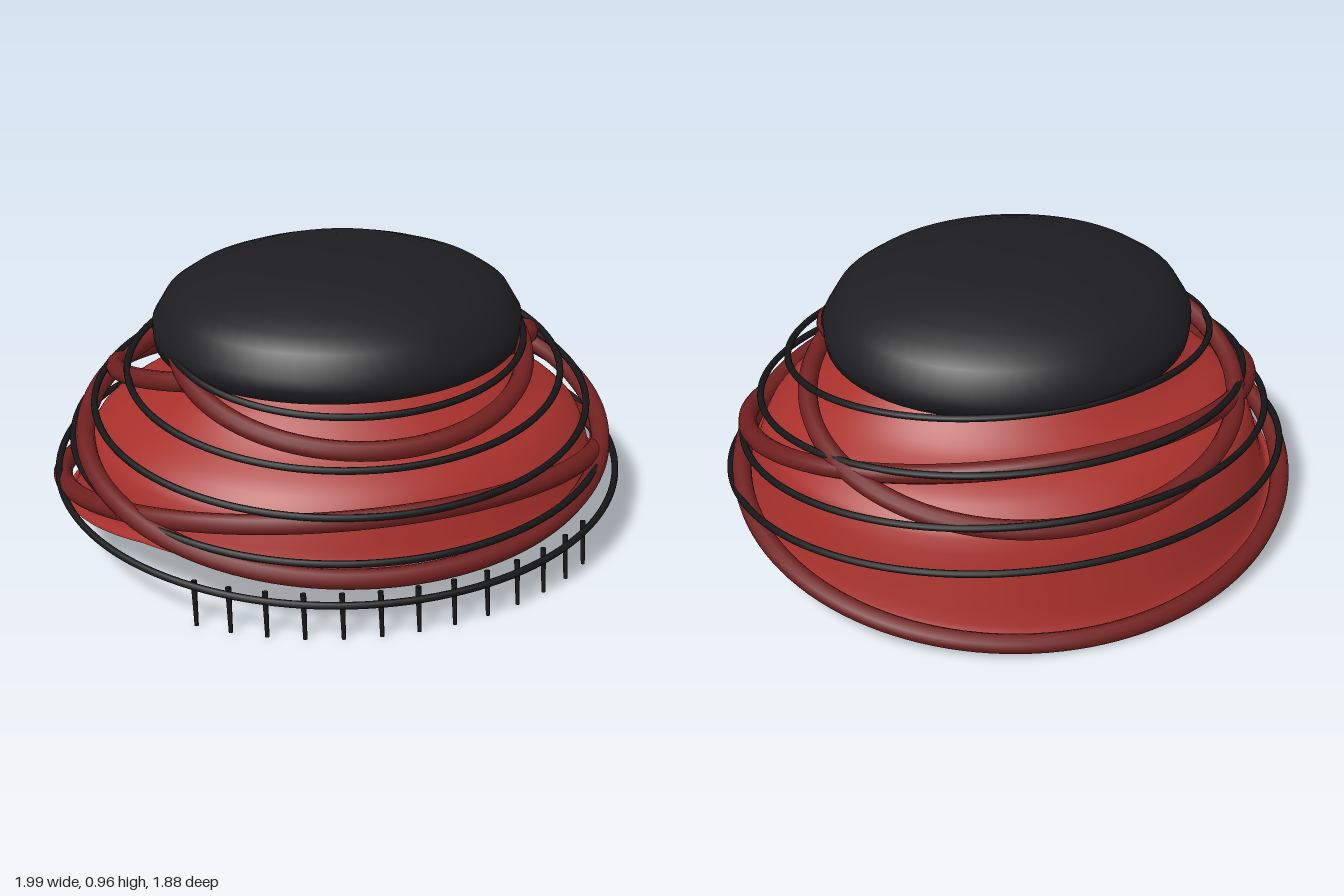
import * as THREE from 'three';
import { ParametricGeometry } from 'three/addons/geometries/ParametricGeometry.js';

const mat = (color, side = THREE.FrontSide) => new THREE.MeshStandardMaterial({ color, side });
const black = mat(0x1e1e21);
const wireBlack = mat(0x161618);
const red = mat(0xa8302b, THREE.DoubleSide);
const darkRed = mat(0x70201f);

// Closed elliptical ring, tilted between its frontmost and backmost points.
function ring(name, front, back, rx, radius, material) {
  const [zf, yf] = front, [zb, yb] = back;
  const points = [];
  for (let i = 0; i < 48; i++) {
    const a = (i / 48) * Math.PI * 2, t = (1 + Math.cos(a)) / 2;
    points.push(new THREE.Vector3(rx * Math.sin(a), yb + (yf - yb) * t, zb + (zf - zb) * t));
  }
  const path = new THREE.CatmullRomCurve3(points, true);
  const mesh = new THREE.Mesh(new THREE.TubeGeometry(path, 128, radius, 10, true), material);
  mesh.name = name;
  return mesh;
}

// Flared shell: horizontal half-width, front and back rise along smooth curves.
function shell() {
  // [front z, front y, back z, back y, half width]
  const sections = [
    [0.04, 0.73, 0.04, 0.73, 0.001],
    [0.4, 0.69, -0.32, 0.69, 0.43],
    [0.5, 0.62, -0.41, 0.61, 0.55],
    [0.62, 0.52, -0.51, 0.52, 0.66],
    [0.74, 0.43, -0.68, 0.43, 0.8],
    [0.8, 0.34, -0.79, 0.31, 0.89],
    [0.84, 0.22, -0.87, 0.01, 0.955],
  ];
  const curve = (pick) => new THREE.CatmullRomCurve3(sections.map(pick));
  const front = curve((s) => new THREE.Vector3(s[4], s[1], s[0]));
  const back = curve((s) => new THREE.Vector3(s[4], s[3], s[2]));
  const f = new THREE.Vector3(), b = new THREE.Vector3();
  const geometry = new ParametricGeometry((u, v, p) => {
    front.getPoint(v, f);
    back.getPoint(v, b);
    const a = u * Math.PI * 2, t = (1 + Math.cos(a)) / 2;
    const z = b.z + (f.z - b.z) * t;
    // the lower rim is level at the front, then slopes down to the back
    const rim = Math.min(0.22, 0.01 + (z + 0.87) * 0.158);
    const level = b.y + (f.y - b.y) * t;
    const blend = THREE.MathUtils.smoothstep(v, 0.75, 1);
    p.set(f.x * Math.sin(a), level + (rim - level) * blend, z);
  }, 96, 36);
  const mesh = new THREE.Mesh(geometry, red);
  mesh.name = 'flaredShell';
  return mesh;
}

// Rounded oval cap whose underside opens onto the shell.
function cap() {
  const profile = [
    [0.38, 0.685], [0.63, 0.68], [0.636, 0.72], [0.636, 0.76], [0.592, 0.835],
    [0.535, 0.875], [0.46, 0.905], [0.36, 0.94], [0.23, 0.963], [0, 0.965],
  ].map(([x, y]) => new THREE.Vector2(x, y));
  const mesh = new THREE.Mesh(new THREE.LatheGeometry(profile, 64), black);
  mesh.scale.z = 0.585 / 0.636;
  mesh.position.z = 0.015;
  mesh.name = 'cap';
  return mesh;
}

// Row of thin teeth hanging along the front of the lowest wire.
function teeth() {
  const group = new THREE.Group();
  group.name = 'teeth';
  const geometry = new THREE.CylinderGeometry(0.01, 0.007, 0.155, 8);
  for (let i = -6; i <= 6; i++) {
    const a = THREE.MathUtils.degToRad(i * 7.2);
    const tooth = new THREE.Mesh(geometry, wireBlack);
    tooth.position.set(0.98 * Math.sin(a), 0.085, 0.895 * Math.cos(a));
    tooth.rotation.x = -0.14;
    tooth.name = 'tooth';
    group.add(tooth);
  }
  return group;
}

export function createModel() {
  const model = new THREE.Group();
  model.name = 'model';
  model.add(shell(), cap(), teeth());

  // Thick bands crossing each other: [front z,y], [back z,y], half width
  const bands = [
    [[0.81, 0.385], [-0.91, 0.04], 0.96],
    [[0.88, 0.205], [-0.655, 0.56], 0.9],
    [[0.47, 0.725], [-0.785, 0.395], 0.74],
    [[0.7, 0.56], [-0.35, 0.84], 0.59],
  ];
  for (const [f, b, rx] of bands) model.add(ring('band', f, b, rx, 0.033, darkRed));

  // Thin parallel wires
  const wires = [
    [[0.93, 0.142], [-0.867, 0.303], 0.985],
    [[0.895, 0.27], [-0.8, 0.432], 0.93],
    [[0.835, 0.4], [-0.7, 0.565], 0.855],
    [[0.763, 0.527], [-0.56, 0.692], 0.745],
    [[0.65, 0.658], [-0.43, 0.8], 0.61],
  ];
  for (const [f, b, rx] of wires) model.add(ring('wire', f, b, rx, 0.012, wireBlack));
  return model;
}
